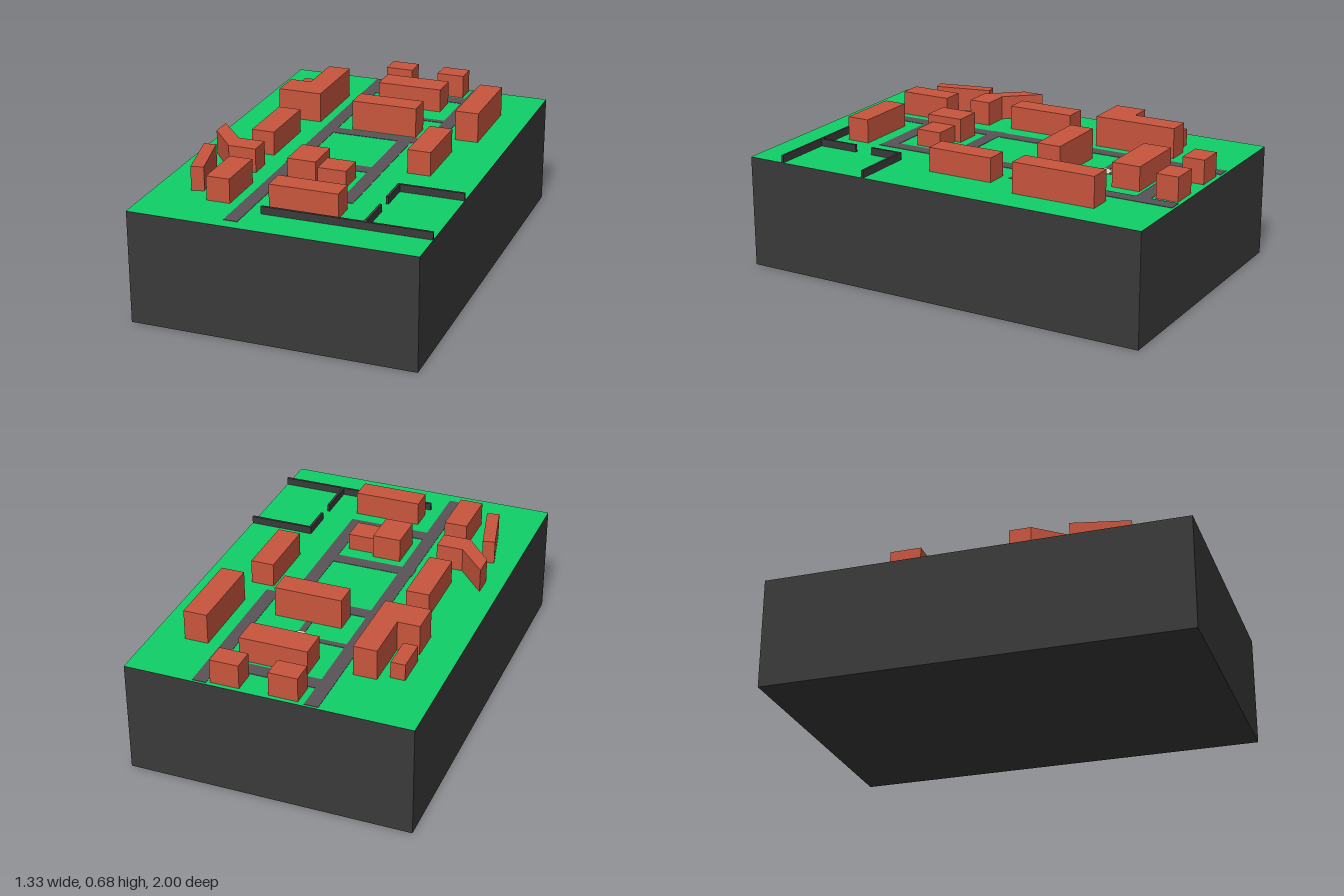
import * as THREE from 'three';

const GROUND = 0.533;
const mat = (color) => new THREE.MeshStandardMaterial({ color, flatShading: true });

export function createModel() {
  const model = new THREE.Group();
  model.name = 'siteModel';
  const dark = mat(0x3a3a3a), grass = mat(0x0fd068), brick = mat(0xc8553d);
  const asphalt = mat(0x5a5258), stone = mat(0xe6d8b4);

  const group = (name) => {
    const g = new THREE.Group();
    g.name = name;
    model.add(g);
    return g;
  };

  // Box from plan extents, standing on y0
  const block = (parent, name, material, [x0, x1, z0, z1], y0, y1) => {
    const mesh = new THREE.Mesh(new THREE.BoxGeometry(x1 - x0, y1 - y0, z1 - z0), material);
    mesh.position.set((x0 + x1) / 2, (y0 + y1) / 2, (z0 + z1) / 2);
    mesh.name = name;
    parent.add(mesh);
  };

  // Upright prism from a plan outline of [x, z] corners
  const prism = (parent, name, material, outline, y0, y1) => {
    const shape = new THREE.Shape(outline.map(([x, z]) => new THREE.Vector2(x, -z)));
    const geo = new THREE.ExtrudeGeometry(shape, { depth: y1 - y0, bevelEnabled: false });
    geo.rotateX(-Math.PI / 2);
    const mesh = new THREE.Mesh(geo, material);
    mesh.position.y = y0;
    mesh.name = name;
    parent.add(mesh);
  };

  // Plinth and lawn
  block(model, 'plinth', dark, [-0.665, 0.665, -1, 1], 0, GROUND - 0.001);
  const lawn = new THREE.Mesh(new THREE.PlaneGeometry(1.33, 2), grass);
  lawn.rotation.x = -Math.PI / 2;
  lawn.position.y = GROUND;
  lawn.name = 'lawn';
  model.add(lawn);

  // Roads and narrow footpaths
  const roads = group('roads');
  [
    [-0.235, -0.17, -0.99, 0.94],
    [0.28, 0.345, -0.99, -0.19],
    [0.155, 0.22, -0.19, 0.585],
    [-0.17, 0.345, -0.86, -0.79],
    [-0.17, 0.345, -0.255, -0.19],
    [-0.24, 0.22, 0.165, 0.23],
    [-0.17, 0.22, 0.515, 0.585],
  ].forEach((r) => block(roads, 'road', asphalt, r, GROUND, GROUND + 0.002));
  [
    [-0.17, 0.28, -0.525, -0.495],
    [0.04, 0.07, -0.64, -0.38],
  ].forEach((r) => block(roads, 'footpath', asphalt, r, GROUND, GROUND + 0.002));

  // Octagonal plaza where the footpaths cross
  const plaza = new THREE.Mesh(new THREE.CylinderGeometry(0.043, 0.043, 0.004, 8), stone);
  plaza.rotation.y = Math.PI / 8;
  plaza.position.set(0.055, GROUND + 0.002, -0.51);
  plaza.name = 'plaza';
  model.add(plaza);

  // Rectangular buildings: plan extents, roof height
  const buildings = group('buildings');
  const LOW = 0.612, MID = 0.647, TALL = 0.677;
  [
    [[-0.14, -0.005, -0.98, -0.875], MID],
    [[0.13, 0.265, -0.98, -0.875], MID],
    [[-0.10, 0.22, -0.775, -0.64], MID],
    [[-0.10, 0.22, -0.38, -0.265], TALL],
    [[0.403, 0.515, -0.705, -0.305], TALL],
    [[-0.505, -0.437, -0.67, -0.507], LOW],
    [[-0.43, -0.32, -0.145, 0.18], MID],
    [[0.327, 0.437, -0.15, 0.17], MID],
    [[-0.14, -0.005, 0.275, 0.455], MID],
    [[-0.005, 0.13, 0.305, 0.43], LOW],
    [[-0.10, 0.22, 0.65, 0.76], MID],
    [[-0.39, -0.28, 0.52, 0.77], MID],
  ].forEach(([r, top]) => block(buildings, 'building', brick, r, GROUND, top));

  // Buildings with angled or bent plans
  prism(buildings, 'cornerBuilding', brick,
    [[-0.39, -0.705], [-0.28, -0.705], [-0.28, -0.305], [-0.495, -0.305], [-0.495, -0.455], [-0.39, -0.455]],
    GROUND, TALL);
  prism(buildings, 'bentBuilding', brick,
    [[-0.577, 0.147], [-0.442, 0.3], [-0.315, 0.3], [-0.315, 0.405], [-0.447, 0.405], [-0.577, 0.25]],
    GROUND, MID);
  prism(buildings, 'angledBuilding', brick,
    [[-0.562, 0.423], [-0.505, 0.41], [-0.442, 0.68], [-0.5, 0.695]],
    GROUND, MID);

  // Low boundary walls, with a gap for the entrance
  const walls = group('boundaryWalls');
  [
    [-0.11, 0.665, 0.814, 0.826],
    [0.355, 0.665, 0.374, 0.386],
    [0.355, 0.367, 0.386, 0.535],
    [0.355, 0.367, 0.62, 0.814],
  ].forEach((r) => block(walls, 'wall', dark, r, GROUND - 0.001, 0.568));

  return model;
}
